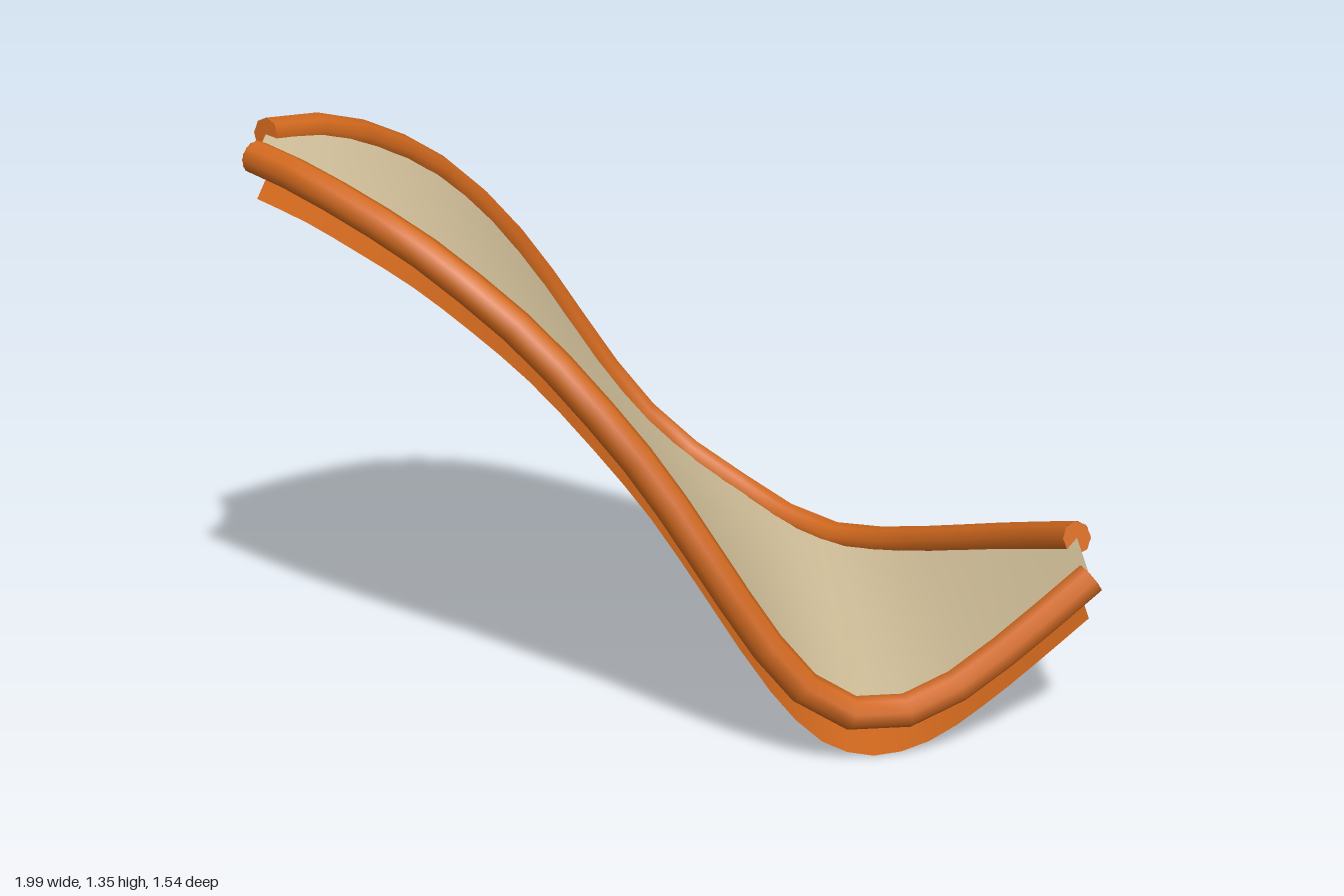
import * as THREE from 'three';

const orange = new THREE.MeshStandardMaterial({ color: 0xd2691e, side: THREE.DoubleSide });
orange.name = 'orange';
const tan = new THREE.MeshStandardMaterial({ color: 0xd2c09a, side: THREE.DoubleSide });
tan.name = 'tan';

// Stations along the chair: x, height and depth of the front rail, then of the back rail
const stations = [
  [-0.975, 1.31, 0.26, 1.31, 0.04],
  [-0.85, 1.285, 0.38, 1.288, -0.105],
  [-0.73, 1.24, 0.47, 1.217, -0.265],
  [-0.6, 1.18, 0.55, 1.1, -0.44],
  [-0.47, 1.095, 0.61, 0.94, -0.57],
  [-0.34, 0.99, 0.65, 0.735, -0.675],
  [-0.2, 0.845, 0.69, 0.505, -0.725],
  [-0.07, 0.685, 0.71, 0.34, -0.732],
  [0.06, 0.49, 0.73, 0.235, -0.7],
  [0.2, 0.275, 0.732, 0.158, -0.637],
  [0.32, 0.145, 0.72, 0.108, -0.55],
  [0.44, 0.1, 0.7, 0.098, -0.45],
  [0.57, 0.12, 0.665, 0.142, -0.31],
  [0.7, 0.19, 0.62, 0.215, -0.125],
  [0.82, 0.275, 0.58, 0.29, 0.06],
  [0.947, 0.37, 0.535, 0.38, 0.295],
];
const railCurve = (k) => new THREE.CatmullRomCurve3(
  stations.map((s) => new THREE.Vector3(s[0], s[k], s[k + 1])));

// Round rail with a flat cap on each end
function rail(name, curve) {
  const group = new THREE.Group();
  group.name = name;
  const radius = 0.04;
  const tube = new THREE.Mesh(new THREE.TubeGeometry(curve, 20, radius, 8, false), orange);
  tube.name = name + 'Tube';
  group.add(tube);
  for (const end of [0, 1]) {
    const cap = new THREE.Mesh(new THREE.CircleGeometry(radius, 8), orange);
    cap.name = name + 'Cap';
    const outward = curve.getTangentAt(end).multiplyScalar(end ? 1 : -1);
    cap.position.copy(curve.getPointAt(end));
    cap.quaternion.setFromUnitVectors(new THREE.Vector3(0, 0, 1), outward);
    group.add(cap);
  }
  return group;
}

// Sheet stretched straight between the two rails, lowered by drop
function sheet(name, front, back, drop, material) {
  const along = 30, across = 6;
  const geo = new THREE.PlaneGeometry(1, 1, along, across);
  const pos = geo.attributes.position;
  for (let j = 0; j <= across; j++) {
    for (let i = 0; i <= along; i++) {
      const p = back.getPoint(i / along).lerp(front.getPoint(i / along), j / across);
      pos.setXYZ(j * (along + 1) + i, p.x, p.y - drop, p.z);
    }
  }
  geo.computeVertexNormals();
  const mesh = new THREE.Mesh(geo, material);
  mesh.name = name;
  return mesh;
}

export function createModel() {
  const model = new THREE.Group();
  model.name = 'slungLounger';
  const front = railCurve(1), back = railCurve(3);
  model.add(
    rail('frontRail', front),
    rail('backRail', back),
    sheet('upperSheet', front, back, 0, tan),
    sheet('lowerSheet', front, back, 0.1, orange),
  );
  return model;
}
